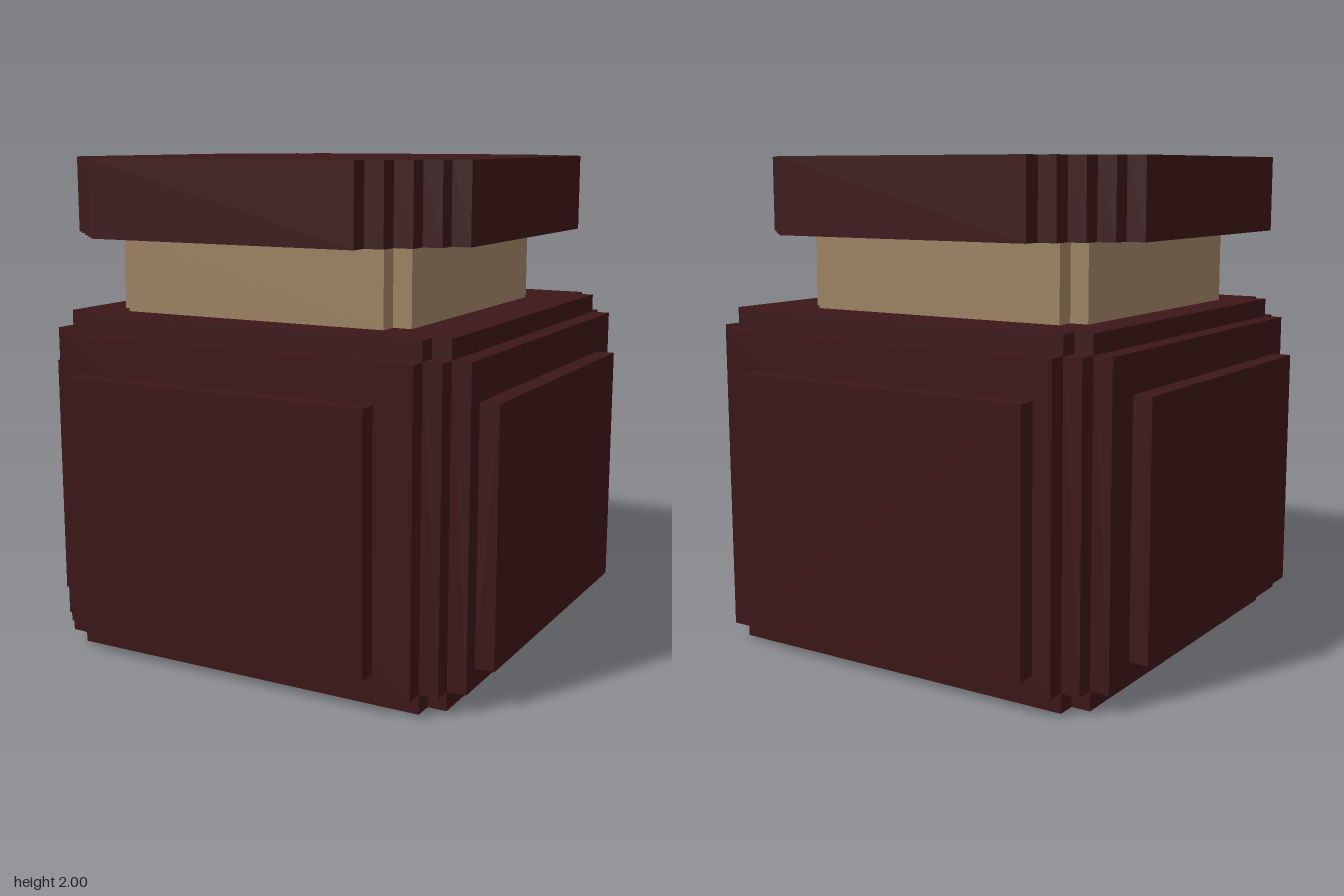
import * as THREE from 'three';

const U = 1 / 13; // one voxel

const dark = new THREE.MeshStandardMaterial({ color: 0x3c1618, flatShading: true });
const tan = new THREE.MeshStandardMaterial({ color: 0x9c8262, flatShading: true });

// Square prism from a to b (in voxels) with stair-stepped vertical corners
function steppedPrism(name, a, b, steps, y0, y1, material) {
  const c = (a + b) / 2, h = (b - a) / 2;
  const corner = [];
  for (let i = 0; i < steps; i++) {
    corner.push([h - i, h - steps + i], [h - i - 1, h - steps + i]);
  }
  corner.push([h - steps, h]);

  const points = [];
  for (let k = 0; k < 4; k++) {
    for (const [x, y] of corner) {
      const [px, py] = [[x, y], [-y, x], [-x, -y], [y, -x]][k];
      points.push(new THREE.Vector2((c + px) * U, (c + py) * U));
    }
  }
  const geometry = new THREE.ExtrudeGeometry(new THREE.Shape(points), {
    depth: (y1 - y0) * U, bevelEnabled: false,
  });
  geometry.rotateX(-Math.PI / 2);
  geometry.translate(0, y0 * U, 0);
  const mesh = new THREE.Mesh(geometry, material);
  mesh.name = name;
  return mesh;
}

// Box given by its voxel size and centre
function box(name, size, centre, material) {
  const mesh = new THREE.Mesh(new THREE.BoxGeometry(...size.map(v => v * U)), material);
  mesh.position.set(...centre.map(v => v * U));
  mesh.name = name;
  return mesh;
}

export function createModel() {
  const jar = new THREE.Group();
  jar.name = 'jar';

  // Body: foot, main block and shoulder
  jar.add(
    steppedPrism('foot', -11, 11, 1, 0, 1, dark),
    steppedPrism('body', -12, 12, 2, 1, 17, dark),
    steppedPrism('shoulder', -11, 11, 1, 17, 18, dark),
  );

  // Raised panels on the four sides, half a voxel off centre
  for (const s of [1, -1]) {
    jar.add(
      box(s > 0 ? 'frontPanel' : 'backPanel', [17, 13, 1], [-0.5, 8.5, s * 12.5], dark),
      box(s > 0 ? 'leftPanel' : 'rightPanel', [1, 13, 17], [s * 12.5, 8.5, 0.5], dark),
    );
  }

  // Neck and lid
  jar.add(
    steppedPrism('neck', -9, 8, 1, 18, 22, tan),
    steppedPrism('lid', -12, 11, 4, 22, 26, dark),
  );
  return jar;
}
